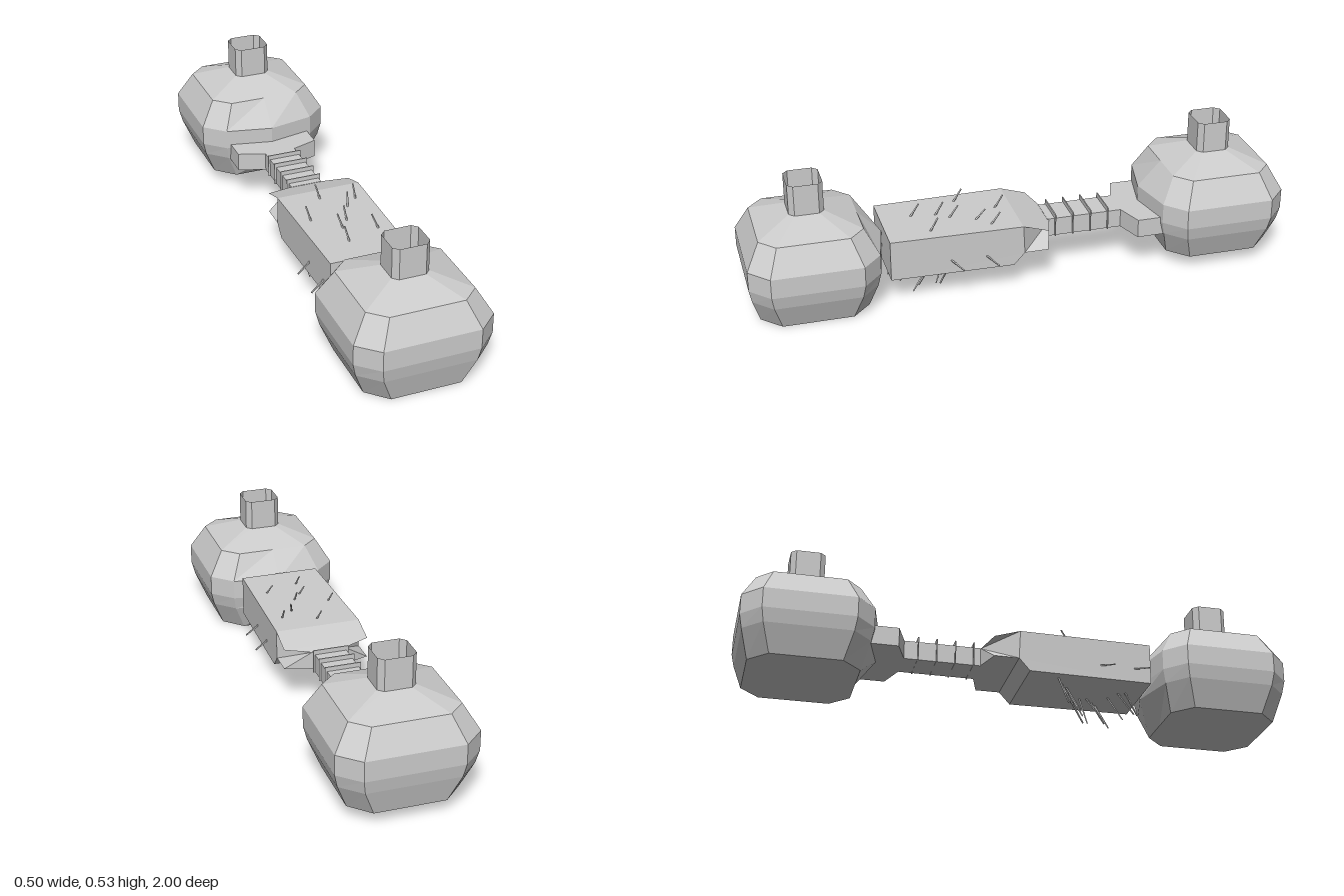
import * as THREE from 'three';

const mat = new THREE.MeshStandardMaterial({ color: 0xcccccc, flatShading: true, side: THREE.DoubleSide });

function add(parent, geometry, name) {
  const mesh = new THREE.Mesh(geometry, mat);
  mesh.name = name;
  parent.add(mesh);
  return mesh;
}

// Chamfered rectangle with an extra point in the middle of its inner (-z) side
function ring([y, x, z, fx, fz, bulge]) {
  return [[x, -fz], [x, fz], [fx, z], [-fx, z], [-x, fz], [-x, -fz], [-fx, -z], [0, -bulge], [fx, -z]]
    .map(([px, pz]) => new THREE.Vector3(px, y, pz));
}

// Skin between successive rings, closed at the bottom and open at the top
function loft(rings) {
  const points = [];
  const n = rings[0].length;
  const base = new THREE.Vector3(0, rings[0][0].y, 0);
  for (let j = 0; j < n; j++) {
    const k = (j + 1) % n;
    points.push(base, rings[0][j], rings[0][k]);
    for (let i = 0; i < rings.length - 1; i++) {
      const a = rings[i][j], b = rings[i][k], c = rings[i + 1][k], d = rings[i + 1][j];
      points.push(a, d, b, b, d, c);
    }
  }
  const geometry = new THREE.BufferGeometry().setFromPoints(points);
  geometry.computeVertexNormals();
  return geometry;
}

function potGeometry() {
  // y, half width, half depth, flat half width, flat half depth, inner bulge
  return loft([
    [0, 0.197, 0.197, 0.127, 0.128, 0.197],
    [0.098, 0.238, 0.225, 0.167, 0.157, 0.27],
    [0.148, 0.25, 0.235, 0.175, 0.165, 0.273],
    [0.222, 0.25, 0.235, 0.175, 0.165, 0.273],
    [0.315, 0.195, 0.186, 0.135, 0.13, 0.186],
    [0.362, 0.067, 0.063, 0.048, 0.044, 0.063],
    [0.477, 0.067, 0.063, 0.048, 0.044, 0.063],
  ].map(ring));
}

// Side profile of [z, y] points, extruded across x
function blockGeometry() {
  const profile = [[0.49, 0.098], [0.035, 0.098], [-0.005, 0.143], [-0.095, 0.143], [-0.125, 0.143],
    [-0.125, 0.21], [-0.095, 0.22], [0, 0.25], [0.49, 0.25]];
  const shape = new THREE.Shape(profile.map(([z, y]) => new THREE.Vector2(-z, y)));
  const geometry = new THREE.ExtrudeGeometry(shape, { depth: 2, bevelEnabled: false });
  geometry.translate(0, 0, -1).rotateY(Math.PI / 2);
  // Taper the width along the length, pinching the tip
  const p = geometry.attributes.position;
  for (let i = 0; i < p.count; i++) {
    const z = p.getZ(i);
    p.setX(i, p.getX(i) * (z < -0.11 ? 0.063 : 0.16 - 0.02 * Math.max(z, 0)));
  }
  geometry.computeVertexNormals();
  return geometry;
}

// Flat plan of the narrow bar and its flared end
function barGeometry() {
  const side = [[0.06, -0.12], [0.06, -0.405], [0.16, -0.44], [0.16, -0.54]];
  const outline = [...side, ...side.map(([x, z]) => [-x, z]).reverse()];
  const shape = new THREE.Shape(outline.map(([x, z]) => new THREE.Vector2(x, -z)));
  const geometry = new THREE.ExtrudeGeometry(shape, { depth: 0.07, bevelEnabled: false });
  return geometry.rotateX(-Math.PI / 2).translate(0, 0.143, 0);
}

function addHair(parent, start, direction, length) {
  const hair = add(parent, new THREE.CylinderGeometry(0.003, 0.004, length, 4), 'hair');
  const dir = direction.normalize();
  hair.quaternion.setFromUnitVectors(new THREE.Vector3(0, 1, 0), dir);
  hair.position.copy(start).addScaledVector(dir, length * 0.4);
}

export function createModel() {
  const model = new THREE.Group();

  // Two matching pots, the rear one raised and turned around
  const frontPot = add(model, potGeometry(), 'frontPot');
  frontPot.position.set(0, 0, 0.765);
  const rearPot = add(model, potGeometry(), 'rearPot');
  rearPot.position.set(0, 0.05, -0.765);
  rearPot.rotation.y = Math.PI;

  // Connecting arm
  add(model, blockGeometry(), 'armBlock');
  add(model, barGeometry(), 'armBar');
  for (let i = 0; i < 4; i++) {
    const fin = add(model, new THREE.BoxGeometry(0.134, 0.088, 0.004), 'fin');
    fin.position.set(0, 0.186, -0.15 - i * 0.068);
  }

  // Stray hairs below, above and beside the block
  let seed = 7;
  const random = () => (seed = (seed * 16807) % 2147483647) / 2147483647;
  const hairs = new THREE.Group();
  hairs.name = 'hairs';
  model.add(hairs);
  const vec = (x, y, z) => new THREE.Vector3(x, y, z);
  for (let i = 0; i < 12; i++) {
    const x = (random() - 0.5) * 0.24;
    addHair(hairs, vec(x, 0.1, 0.15 + i * 0.025), vec((random() - 0.5) * 0.3, -1, 0.3 + random() * 0.5), 0.11);
  }
  for (let i = 0; i < 8; i++) {
    const x = (random() - 0.5) * 0.24;
    addHair(hairs, vec(x, 0.25, 0.06 + i * 0.045), vec((random() - 0.5) * 0.5, 0.7, -0.5), 0.06);
  }
  for (const [side, z] of [[1, 0.14], [1, 0.27], [-1, 0.3], [-1, 0.43]]) {
    addHair(hairs, vec(side * 0.15, 0.15, z), vec(side, -0.3, -side * 0.6), 0.08);
  }
  return model;
}
